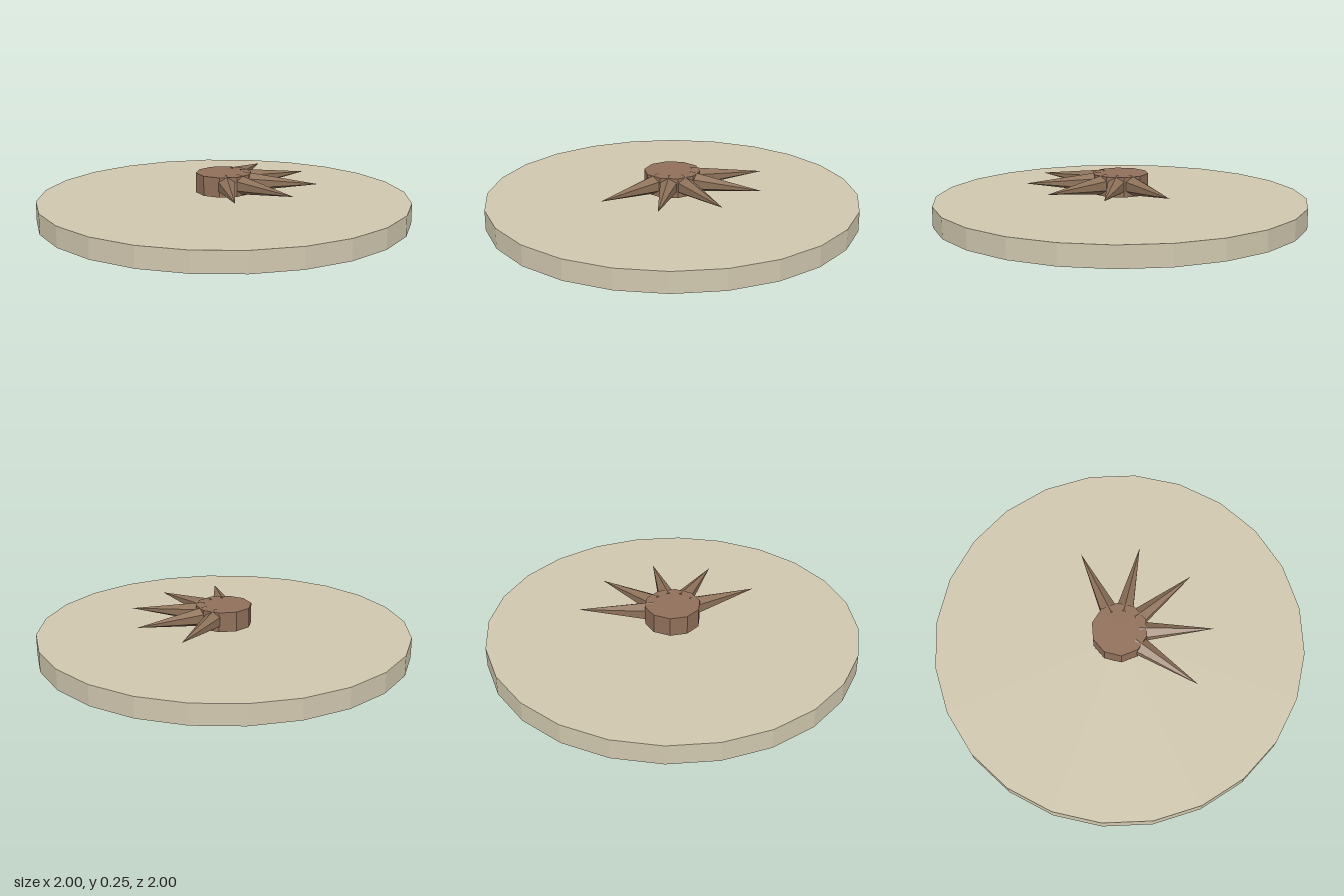
import * as THREE from 'three';

export function createModel() {
  const model = new THREE.Group();
  const sand = new THREE.MeshStandardMaterial({ color: 0xd0c7ae });
  const clay = new THREE.MeshStandardMaterial({ color: 0x91705b });
  const bark = new THREE.MeshStandardMaterial({ color: 0x8e725a });
  for (const m of [sand, clay, bark]) m.flatShading = true;

  const add = (name, geometry, material, y) => {
    const mesh = new THREE.Mesh(geometry, material);
    mesh.name = name;
    mesh.position.y = y;
    model.add(mesh);
    return mesh;
  };

  // Round base plate
  add('basePlate', new THREE.CylinderGeometry(1, 1, 0.11, 24), sand, 0.055);

  // Ten-sided hub floating just above the plate
  add('hub', new THREE.CylinderGeometry(0.15, 0.15, 0.106, 10), clay, 0.193);

  // Five six-sided spikes fanned towards +x, one ridge on top
  const spike = new THREE.ConeGeometry(0.055, 0.4, 6)
    .rotateY(Math.PI / 2)
    .rotateZ(-Math.PI / 2)
    .translate(0.305, 0, 0);
  for (let i = -2; i <= 2; i++) {
    add('spike', spike, bark, 0.197).rotation.y = THREE.MathUtils.degToRad(i * 37.5);
  }
  return model;
}
